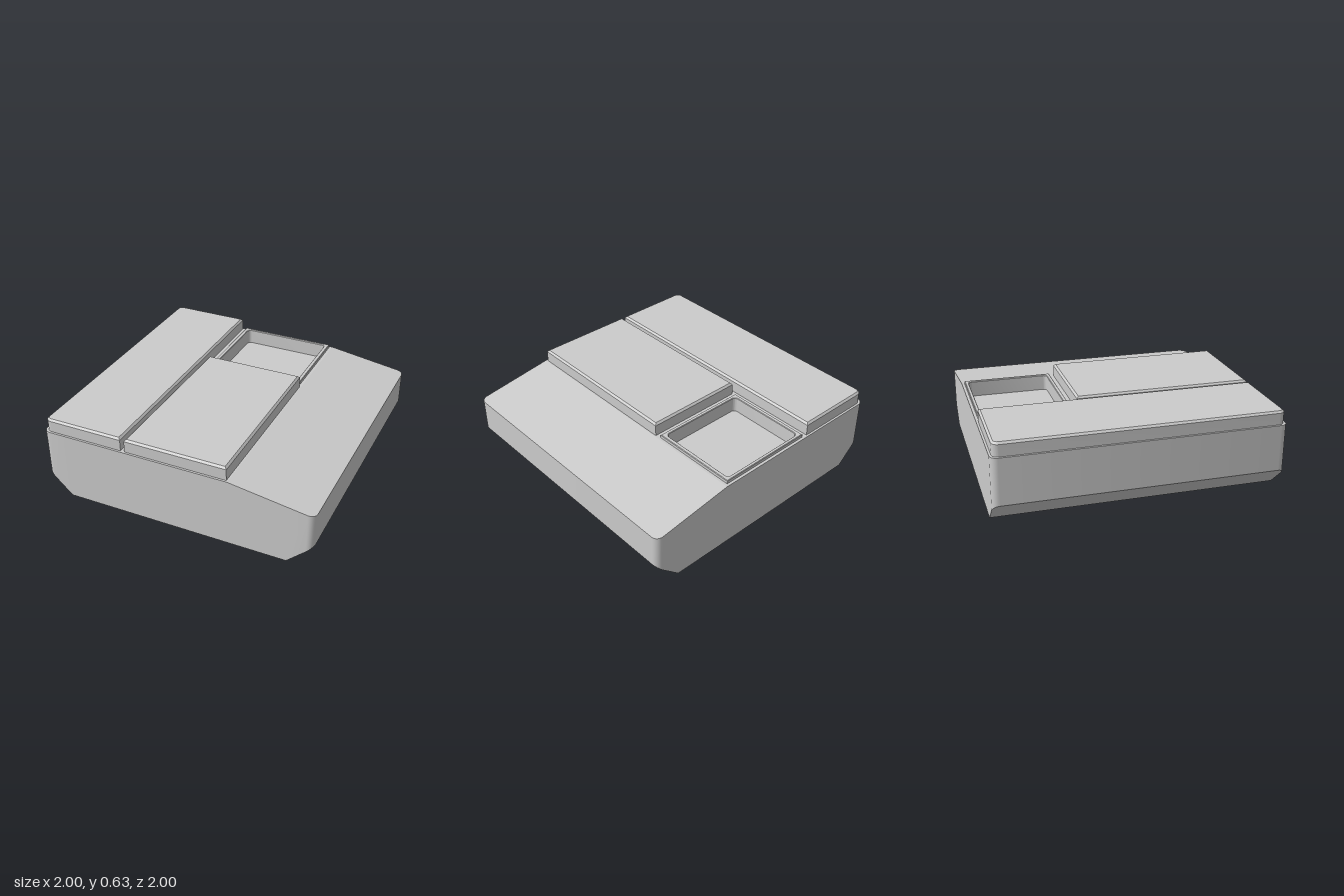
import * as THREE from 'three';
import { toCreasedNormals } from 'three/addons/utils/BufferGeometryUtils.js';

const R = 0.05;          // plan corner radius of the body
const DECK = 0.53;       // height of the flat deck
const SLOPE_X = 0.4;     // where the deck starts to slope down

// Rectangle in plan (shape y = -z), with separate radii for its -x and +x corners
function outline(x0, x1, z0, z1, rl, rr, Type = THREE.Shape) {
  const s = new Type(), b = -z1, t = -z0, q = Math.PI / 2;
  s.moveTo(x0 + rl, b);
  s.lineTo(x1 - rr, b);
  if (rr) s.absarc(x1 - rr, b + rr, rr, -q, 0, false);
  s.lineTo(x1, t - rr);
  if (rr) s.absarc(x1 - rr, t - rr, rr, 0, q, false);
  s.lineTo(x0 + rl, t);
  if (rl) s.absarc(x0 + rl, t - rl, rl, q, 2 * q, false);
  s.lineTo(x0, b + rl);
  if (rl) s.absarc(x0 + rl, b + rl, rl, 2 * q, 3 * q, false);
  return s;
}

// Plan shape raised from y0 to y1 with a small chamfer
function slab(shape, y0, y1, c) {
  const g = new THREE.ExtrudeGeometry(shape, {
    depth: y1 - y0 - 2 * c, curveSegments: 6, bevelEnabled: true,
    bevelThickness: c, bevelSize: c, bevelOffset: -c, bevelSegments: 1,
  });
  g.rotateX(-Math.PI / 2).translate(0, y0 + c, 0);
  return toCreasedNormals(g, 0.4);
}

// Body skin: rectangular sections lofted along x, left open under the flat deck
function bodyGeometry() {
  const arc = [];
  for (let i = 0; i <= 6; i++) arc.push(1 - R + R * Math.sin(i * Math.PI / 12));
  const xs = [...arc.map(x => -x).reverse(), -0.82, SLOPE_X, 0.82, ...arc];
  const rings = xs.map(x => {
    const ax = Math.abs(x), d = Math.max(0, ax - (1 - R));
    const w = 1 - R + Math.sqrt(Math.max(0, R * R - d * d));
    const b = 0.03 + Math.max(0, ax - 0.82) / 0.18 * 0.17;
    const t = DECK - Math.max(0, x - SLOPE_X) / (1 - SLOPE_X) * 0.09;
    return [[x, b, w], [x, t, w], [x, t, -w], [x, b, -w]];
  });
  const pos = [];
  const quad = (a, b, c, d) => pos.push(...a, ...b, ...c, ...a, ...c, ...d);
  for (let k = 0; k < rings.length - 1; k++) {
    const a = rings[k], b = rings[k + 1];
    for (let i = 0; i < 4; i++) {
      if (i === 1 && xs[k] < SLOPE_X) continue;
      const j = (i + 1) % 4;
      quad(a[i], b[i], b[j], a[j]);
    }
  }
  quad(...rings[0]);
  quad(...rings[rings.length - 1].slice().reverse());
  const g = new THREE.BufferGeometry();
  g.setAttribute('position', new THREE.Float32BufferAttribute(pos, 3));
  return toCreasedNormals(g, 0.3);
}

export function createModel() {
  const group = new THREE.Group();
  const material = new THREE.MeshStandardMaterial({ color: 0xcccccc });
  const add = (name, geometry) => {
    const mesh = new THREE.Mesh(geometry, material);
    mesh.name = name;
    group.add(mesh);
    return mesh;
  };

  // Main housing
  add('body', bodyGeometry());

  // Flat deck with the opening for the tray
  const deck = outline(-1, SLOPE_X, -1, 1, R, 0);
  deck.holes.push(outline(-0.335, 0.365, -0.967, -0.347, 0, 0, THREE.Path));
  add('deck', new THREE.ShapeGeometry(deck, 6).rotateX(-Math.PI / 2).translate(0, DECK, 0));

  // Recessed tray: raised rim, inner walls and floor
  const rim = outline(-0.35, 0.38, -0.98, -0.333, 0, 0);
  rim.holes.push(outline(-0.32, 0.35, -0.955, -0.36, 0.03, 0.03, THREE.Path));
  add('trayRim', slab(rim, 0.4, 0.555, 0.004));
  add('trayFloor', new THREE.BoxGeometry(0.7, 0.02, 0.62).translate(0.015, 0.43, -0.657));

  // Raised cover plates
  add('sidePlate', slab(outline(-0.985, -0.39, -0.985, 0.985, 0.045, 0), 0.5, 0.627, 0.014));
  add('frontPlate', slab(outline(-0.36, 0.39, -0.293, 0.985, 0, 0), 0.5, 0.627, 0.014));

  // Four tapered feet
  for (const x of [-0.672, 0.672]) for (const z of [-0.88, 0.88]) {
    add('foot', new THREE.CylinderGeometry(0.068, 0.055, 0.03, 32)).position.set(x, 0.015, z);
  }
  return group;
}
